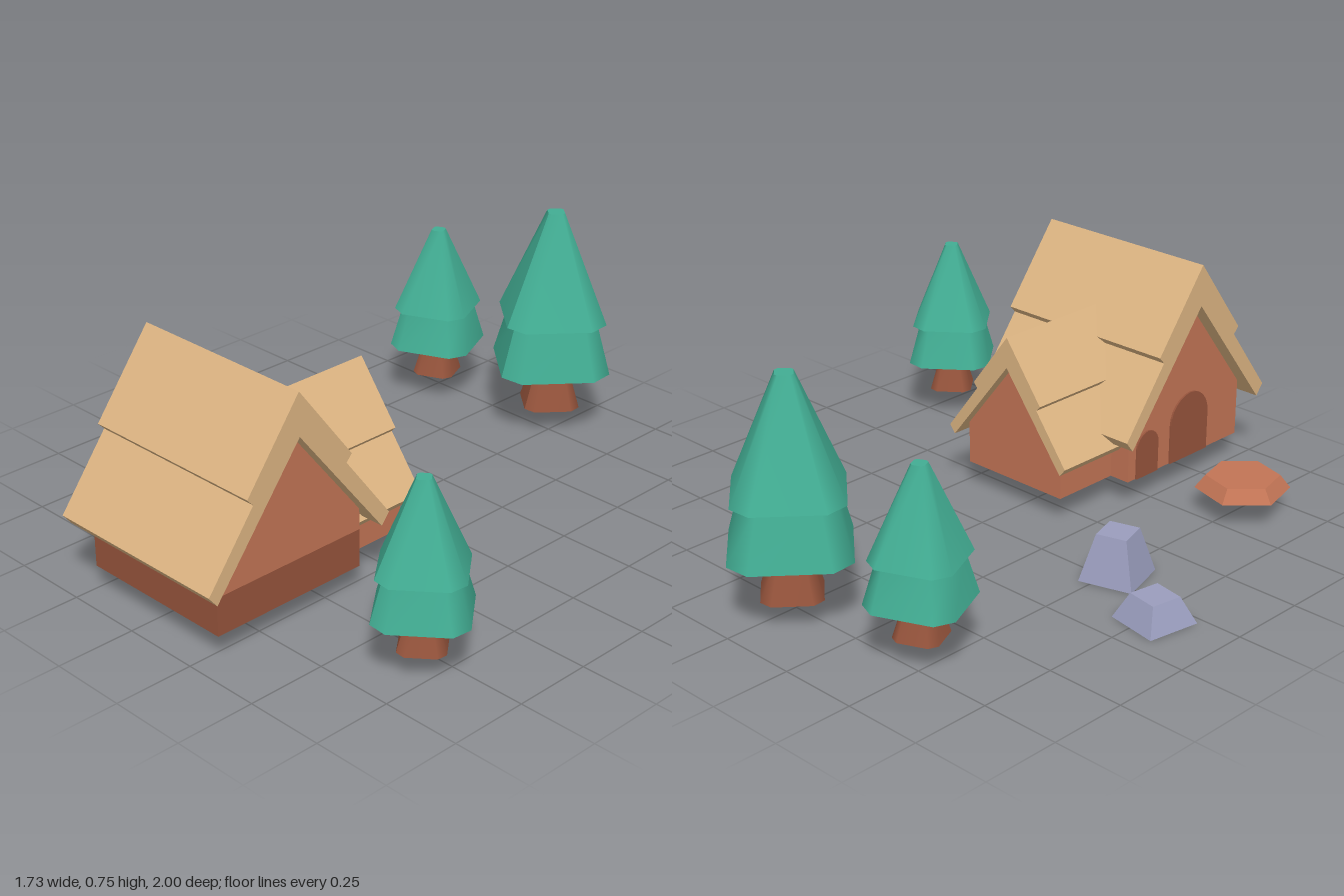
import * as THREE from 'three';

const material = (name, color, side = THREE.FrontSide) => {
  const m = new THREE.MeshStandardMaterial({ color, side });
  m.name = name;
  return m;
};

export function createModel() {
  const model = new THREE.Group();
  const thatch = material('tan roof', 0xdcb482);
  const clay = material('clay', 0xc27455, THREE.DoubleSide);
  const brown = material('brown wood', 0x96543c, THREE.DoubleSide);
  const green = material('pine green', 0x42ad93);
  const slate = material('slate', 0x9a9dbd, THREE.DoubleSide);

  const add = (parent, name, geometry, mat, x = 0, y = 0, z = 0, ry = 0) => {
    const mesh = new THREE.Mesh(geometry, mat);
    mesh.name = name;
    mesh.position.set(x, y, z);
    mesh.rotation.y = ry;
    parent.add(mesh);
    return mesh;
  };
  const shapeOf = (pts) => new THREE.Shape(pts.map(([x, y]) => new THREE.Vector2(x, y)));

  // House shell with the ridge along z, standing on y = 0
  const W = 0.265, EAVE = 0.187, APEX = 0.526, BAND = 0.12;
  function house(name, isMain) {
    const g = new THREE.Group();
    g.name = name;

    // Stepped roof: right half of the section, mirrored
    const outer = [[0.305, 0.135], [0.333, 0.17], [0.17, 0.386], [0.19, 0.408]];
    const section = shapeOf([
      [0, APEX], ...outer, [0, 0.66],
      ...outer.slice().reverse().map(([x, y]) => [-x, y]),
    ]);
    const roof = new THREE.ExtrudeGeometry(section, { depth: 0.63, bevelEnabled: false });
    add(g, 'roof', roof.translate(0, 0, -0.315), thatch);

    // Side walls
    for (const s of [-1, 1]) {
      add(g, 'sideWall', new THREE.PlaneGeometry(2 * W, EAVE),
        isMain && s < 0 ? brown : clay, s * W, EAVE / 2, 0, s * Math.PI / 2);
    }
    // Gable walls; the main front gable stands on a brown base band
    const gable = (base) => new THREE.ShapeGeometry(shapeOf(
      [[-W, base], [W, base], [W, EAVE], [0, APEX], [-W, EAVE]]));
    add(g, 'gable', gable(isMain ? BAND : 0), clay, 0, 0, W);
    add(g, 'backGable', gable(0), clay, 0, 0, -W, Math.PI);
    if (isMain) {
      add(g, 'baseBand', new THREE.PlaneGeometry(2 * W, BAND), brown, 0, BAND / 2, W);
    }
    model.add(g);
    return g;
  }

  const main = house('mainHouse', true);
  main.position.set(0.025, 0.08, 0.665);
  main.rotation.y = Math.PI / 2;

  const wing = house('wing', false);
  wing.scale.setScalar(0.735);
  wing.position.set(0.025, 0.08, 0.362);
  wing.rotation.y = Math.PI;

  // Arched door and window as thin plates
  const arch = (r, h) => {
    const s = new THREE.Shape();
    s.moveTo(-r, 0);
    s.lineTo(r, 0);
    s.lineTo(r, h - r);
    s.absarc(0, h - r, r, 0, Math.PI, false);
    s.lineTo(-r, 0);
    return new THREE.ExtrudeGeometry(s, { depth: 0.006, bevelEnabled: false, curveSegments: 6 });
  };
  add(main, 'door', arch(0.09, 0.22), brown, -0.02, 0, -W - 0.006);
  add(main, 'window', arch(0.05, 0.15), brown, 0.18, 0, -W - 0.006);

  // Tapered post whose section is a square with cut corners
  function chamfered(top, bottom, y0, y1) {
    const geo = new THREE.CylinderGeometry(top, bottom, y1 - y0, 8);
    const p = geo.attributes.position;
    for (let i = 0; i < p.count; i++) {
      const r = Math.hypot(p.getX(i), p.getZ(i));
      if (r < 1e-6) continue;
      const k = Math.round(Math.atan2(p.getX(i), p.getZ(i)) / (Math.PI / 4)) + 8;
      const a = Math.floor(k / 2) * Math.PI / 2 + (k % 2 ? 0.2 : -0.2);
      p.setX(i, r * Math.sin(a));
      p.setZ(i, r * Math.cos(a));
    }
    geo.translate(0, (y0 + y1) / 2, 0);
    geo.computeVertexNormals();
    return geo;
  }

  // Pine trees: x, z, scale, turn
  for (const [x, z, s, turn] of [
    [0.705, 0.568, 1, -0.1], [-0.465, -0.703, 1, -0.37], [-0.035, -0.79, 1.305, 0.07],
  ]) {
    const tree = new THREE.Group();
    tree.name = 'tree';
    add(tree, 'trunk', chamfered(0.045, 0.082, 0, 0.115), brown);
    add(tree, 'lowerFoliage', chamfered(0.12, 0.161, 0.11, 0.245), green);
    add(tree, 'upperFoliage', chamfered(0.024, 0.147, 0.24, 0.51), green);
    tree.position.set(x, 0.08, z);
    tree.scale.setScalar(s);
    tree.rotation.y = turn;
    model.add(tree);
  }

  // Open-bottomed tapered blocks: sides plus a top face
  function block(name, sides, rTop, rBottom, h, mat, x, y, z, ry) {
    const g = new THREE.Group();
    g.name = name;
    const body = new THREE.CylinderGeometry(rTop, rBottom, h, sides, 1, true).toNonIndexed();
    body.computeVertexNormals();
    add(g, name + 'Sides', body, mat, 0, h / 2, 0);
    const cap = new THREE.CircleGeometry(rTop, sides, -Math.PI / 2).rotateX(-Math.PI / 2);
    add(g, name + 'Top', cap, mat, 0, h, 0);
    g.position.set(x, y, z);
    g.rotation.y = ry;
    model.add(g);
  }
  block('lowRock', 4, 0.07, 0.12, 0.08, slate, -0.77, 0, -0.093, Math.PI / 4 - 0.17);
  block('tallRock', 4, 0.068, 0.12, 0.145, slate, -0.52, 0, 0.033, Math.PI / 4 + 0.29);
  block('stump', 6, 0.115, 0.148, 0.042, clay, -0.513, 0.08, 0.624, 0.245);

  return model;
}
